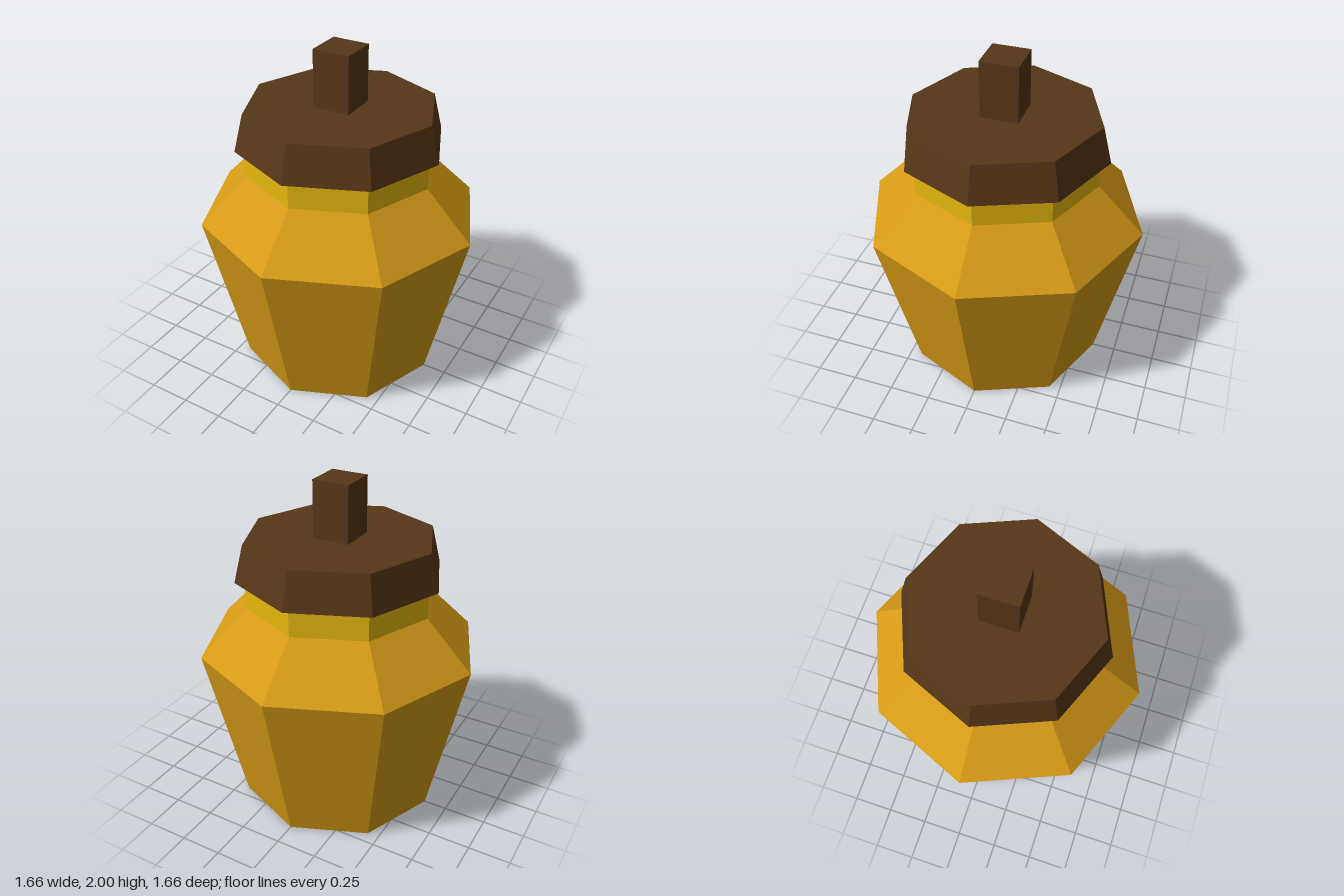
import * as THREE from 'three';

const SIDES = 8;

function material(name, color) {
  const m = new THREE.MeshStandardMaterial({ color, flatShading: true });
  m.name = name;
  return m;
}

export function createModel() {
  const group = new THREE.Group();
  group.name = 'jar';

  const amber = material('amber', 0xd69a16);
  const darkAmber = material('dark amber', 0x94680a);
  const yellow = material('yellow', 0xe8b90e);
  const brown = material('brown', 0x563718);
  const darkBrown = material('dark brown', 0x39250f);

  // Adds one faceted octagonal tier between two heights.
  // A list of materials colours the side, top and base in that order.
  function tier(name, mat, y0, r0, y1, r1, open = false) {
    const geometry = new THREE.CylinderGeometry(r1, r0, y1 - y0, SIDES, 1, open);
    const mesh = new THREE.Mesh(geometry, mat);
    mesh.name = name;
    mesh.position.y = (y0 + y1) / 2;
    group.add(mesh);
  }

  // Body with a darker base widens to the shoulder, then closes in to the neck
  tier('body', [amber, amber, darkAmber], 0, 0.61, 1, 0.832);
  tier('shoulder', amber, 1, 0.832, 1.28, 0.555, true);
  tier('neck', yellow, 1.28, 0.555, 1.447, 0.555, true);

  // Tapered lid with a darker underside overhangs the neck
  tier('lid', [brown, brown, darkBrown], 1.447, 0.61, 1.666, 0.555);

  // Square handle
  const handle = new THREE.Mesh(new THREE.BoxGeometry(0.22, 0.334, 0.22), brown);
  handle.name = 'handle';
  handle.position.y = 1.833;
  group.add(handle);

  return group;
}
